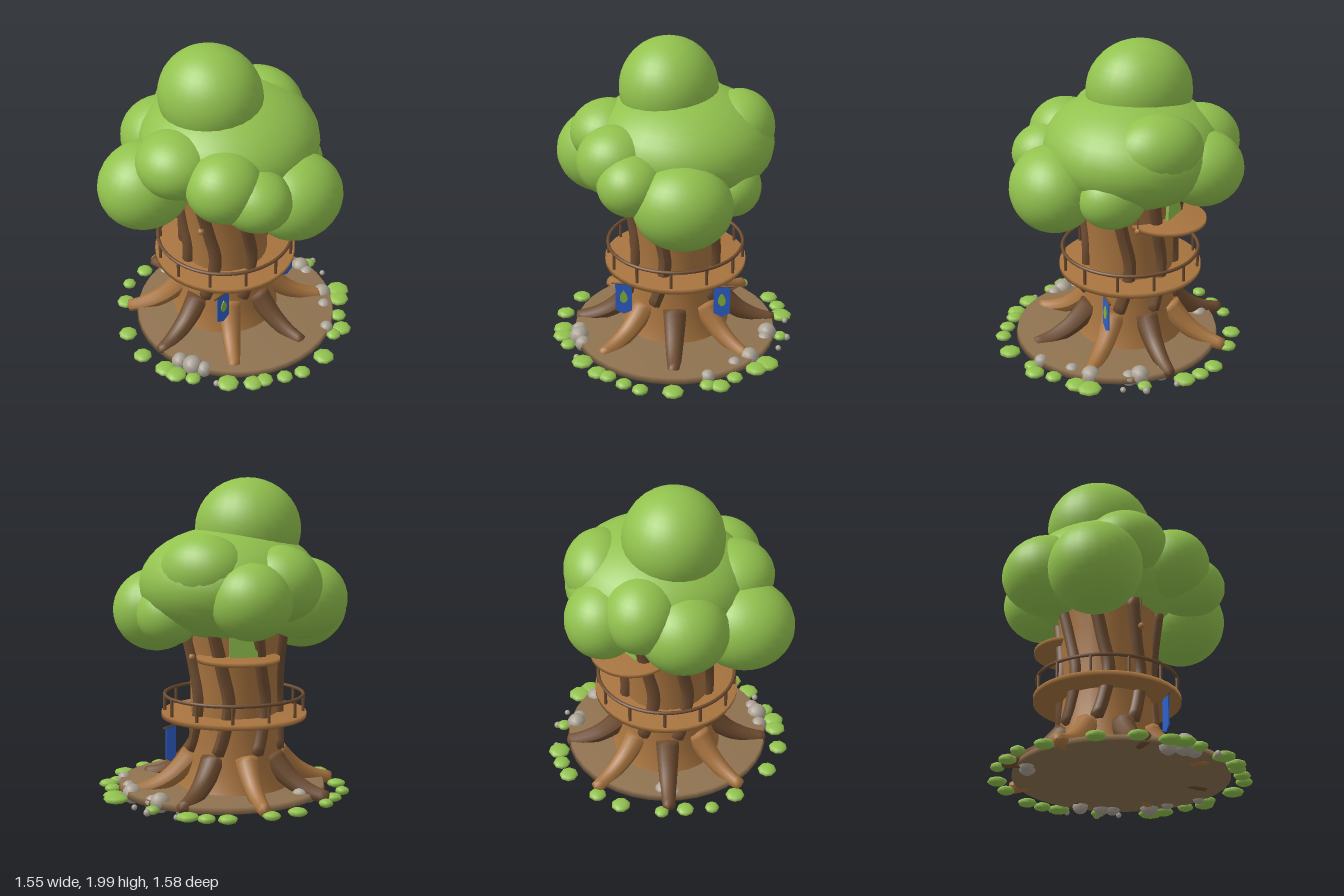
import * as THREE from 'three';
import { mergeVertices } from 'three/addons/utils/BufferGeometryUtils.js';

const mat = (name, color) => {
  const m = new THREE.MeshStandardMaterial({ color });
  m.name = name;
  return m;
};

export function createModel() {
  const leaf = mat('leaf green', 0x92c24e);
  const bark = mat('bark brown', 0xa8743f);
  const darkBark = mat('dark bark', 0x6e4c30);
  const dirt = mat('dirt', 0x8f7250);
  const stone = mat('stone grey', 0xaaa295);
  const blue = mat('banner blue', 0x2f5fc8);
  blue.side = THREE.DoubleSide;
  const emblemGreen = mat('emblem green', 0x86b43c);
  emblemGreen.side = THREE.DoubleSide;

  const model = new THREE.Group();
  model.name = 'treehouse';
  const add = (name, geo, material, x = 0, y = 0, z = 0, parent = model) => {
    const mesh = new THREE.Mesh(geo, material);
    mesh.name = name;
    mesh.position.set(x, y, z);
    parent.add(mesh);
    return mesh;
  };
  const V = (x, y, z) => new THREE.Vector3(x, y, z);

  // Disc with softly shaded rim and faces
  const softDisc = (rTop, rBottom, height, sides) => {
    const geo = new THREE.CylinderGeometry(rTop, rBottom, height, sides);
    geo.deleteAttribute('normal');
    geo.deleteAttribute('uv');
    const welded = mergeVertices(geo);
    welded.computeVertexNormals();
    return welded;
  };

  // Tube along a curve whose radius runs from r0 to r1, closed at both ends
  const taperedTube = (points, r0, r1, segs = 16, sides = 9) => {
    const curve = new THREE.CatmullRomCurve3(points);
    const geo = new THREE.TubeGeometry(curve, segs, 1, sides);
    const pos = geo.attributes.position;
    const v = V(0, 0, 0);
    for (let i = 0; i <= segs; i++) {
      const t = i / segs;
      const c = curve.getPointAt(t);
      const r = i === 0 || i === segs ? 0.001 : r0 + (r1 - r0) * t;
      // Pull the end rings inward so the tips are blunt
      const base = curve.getPointAt(i === 0 ? 0.6 / segs : i === segs ? 1 - 0.6 / segs : t);
      for (let j = 0; j <= sides; j++) {
        const k = i * (sides + 1) + j;
        v.fromBufferAttribute(pos, k).sub(c).multiplyScalar(r).add(base);
        pos.setXYZ(k, v.x, v.y, v.z);
      }
    }
    geo.computeVertexNormals();
    return geo;
  };

  // Ground disc
  add('ground', softDisc(0.64, 0.65, 0.04, 40), dirt, 0.01, 0.085, 0);

  // Tree parts share an axis set slightly back
  const tree = new THREE.Group();
  tree.name = 'tree';
  tree.position.set(0.01, 0, -0.09);
  model.add(tree);

  // Trunk
  const profile = [[0.35, 0.09], [0.325, 0.15], [0.3, 0.25], [0.28, 0.4], [0.27, 0.55],
    [0.272, 0.75], [0.285, 0.95], [0.31, 1.1], [0.33, 1.25], [0.001, 1.3]];
  add('trunk', new THREE.LatheGeometry(profile.map(p => new THREE.Vector2(...p)), 28), bark, 0, 0, 0, tree);

  // Roots, alternating light and dark
  for (let i = 0; i < 8; i++) {
    const root = add('root', taperedTube(
      [V(0, 0.325, 0.245), V(0, 0.25, 0.31), V(0, 0.165, 0.41), V(0, 0.11, 0.53), V(0, 0.085, 0.67)],
      0.08, 0.036), i % 2 ? bark : darkBark, 0, 0, 0, tree);
    root.rotation.y = i * Math.PI / 4 + 0.045;
  }

  // Twisting bark ridges
  [-20, 60, 105, 155, 200, 245, 290].forEach(deg => {
    const pts = [[0.3, -7, 0.285], [0.45, 3, 0.272], [0.65, 10, 0.268], [0.85, 2, 0.275], [1.15, -9, 0.32]]
      .map(([y, off, r]) => {
        const a = (deg + off) * Math.PI / 180;
        return V(Math.sin(a) * r, y, Math.cos(a) * r);
      });
    add('barkRidge', taperedTube(pts, 0.042, 0.042, 20, 8), darkBark, 0, 0, 0, tree);
  });

  // Balcony with railing
  add('balcony', softDisc(0.45, 0.45, 0.032, 40), bark, 0, 0.545, 0, tree);
  const rail = add('rail', new THREE.TorusGeometry(0.43, 0.011, 8, 48), darkBark, 0, 0.67, 0, tree);
  rail.rotation.x = Math.PI / 2;
  for (let i = 0; i < 12; i++) {
    const a = i * Math.PI / 6;
    add('railPost', new THREE.CylinderGeometry(0.01, 0.01, 0.115, 8), darkBark,
      Math.sin(a) * 0.43, 0.612, Math.cos(a) * 0.43, tree);
  }

  // Upper lookout ledge with a green door in the trunk
  add('lookout', softDisc(0.25, 0.25, 0.025, 32), bark, 0.22, 0.93, -0.246);
  const doorway = new THREE.Group();
  doorway.name = 'doorway';
  doorway.rotation.y = 132 * Math.PI / 180;
  tree.add(doorway);
  add('door', new THREE.BoxGeometry(0.17, 0.16, 0.02), leaf, 0, 1.02, 0.3, doorway);

  // Hanging bobs on ropes
  [[0.365, 0.94, -0.01], [-0.325, 0.92, 0.02]].forEach(([x, y, z]) => {
    add('hangingBob', new THREE.SphereGeometry(0.02, 10, 8), bark, x, y, z);
    add('bobRope', new THREE.CylinderGeometry(0.004, 0.004, 0.18, 6), darkBark, x, y + 0.09, z);
  });

  // Crown: [x, y, z, rx, ry, rz]
  [
    [-0.035, 1.69, -0.16, 0.305, 0.31, 0.33],
    [0.055, 1.365, -0.09, 0.565, 0.348, 0.55],
    [0.4, 1.455, -0.12, 0.22, 0.225, 0.28],
    [0.37, 1.3, -0.42, 0.23, 0.23, 0.25],
    [0.14, 1.385, -0.48, 0.23, 0.23, 0.26],
    [-0.1, 1.28, -0.5, 0.27, 0.25, 0.28],
    [-0.46, 1.19, -0.31, 0.3, 0.27, 0.28],
    [-0.4, 1.41, -0.1, 0.24, 0.2, 0.25],
    [-0.325, 1.36, 0.22, 0.24, 0.215, 0.23],
    [-0.22, 1.28, 0.36, 0.21, 0.19, 0.235],
    [0.085, 1.17, 0.43, 0.3, 0.262, 0.265],
    [0.37, 1.18, 0.15, 0.175, 0.18, 0.205],
  ].forEach(([x, y, z, rx, ry, rz]) => {
    add('leafClump', new THREE.SphereGeometry(1, 28, 20), leaf, x, y, z).scale.set(rx, ry, rz);
  });

  // Banners with a leaf emblem
  const cloth = new THREE.Shape([[-0.052, 0.49], [-0.052, 0.295], [0, 0.268], [0.052, 0.295], [0.052, 0.49]]
    .map(p => new THREE.Vector2(...p)));
  const emblem = new THREE.Shape();
  emblem.moveTo(0, -0.045);
  emblem.bezierCurveTo(0.035, -0.03, 0.03, 0.01, 0, 0.045);
  emblem.bezierCurveTo(-0.03, 0.01, -0.035, -0.03, 0, -0.045);
  [-0.3, 0.32].forEach(x => {
    add('banner', new THREE.ExtrudeGeometry(cloth, { depth: 0.008, bevelEnabled: false }), blue, x, 0, 0.172);
    add('bannerEmblem', new THREE.ExtrudeGeometry(emblem, { depth: 0.006, bevelEnabled: false }),
      emblemGreen, x, 0.395, 0.18);
    const rod = add('bannerRod', new THREE.CylinderGeometry(0.006, 0.006, 0.15, 8), darkBark, x, 0.488, 0.176);
    rod.rotation.z = Math.PI / 2;
  });

  // Stones: [x, z, radius, y]
  [
    [0.61, 0.06, 0.062, 0.09], [0.595, 0.125, 0.05, 0.075], [0.5, 0.34, 0.062, 0.08], [0.41, 0.43, 0.045, 0.085],
    [0.25, 0.58, 0.045, 0.085], [-0.59, 0.18, 0.065, 0.09], [-0.56, 0.25, 0.05, 0.08], [-0.6, 0.08, 0.055, 0.07],
    [0.02, -0.57, 0.055, 0.085], [-0.05, -0.59, 0.045, 0.075], [0.58, -0.09, 0.05, 0.06],
    [0.74, 0.065, 0.022, 0.06], [0.73, -0.135, 0.018, 0.06], [0.685, 0.195, 0.018, 0.06], [-0.585, 0.38, 0.02, 0.06],
  ].forEach(([x, z, r, y], i) => {
    const rock = add('stone', new THREE.SphereGeometry(r, 10, 8), stone, x, y, z);
    rock.rotation.y = i * 1.3;
  });

  // Flat grass tufts round the edge: [x, z, radius]
  [
    [0.625, -0.42, 0.06], [0.68, -0.31, 0.055], [0.705, -0.195, 0.07], [0.695, 0.06, 0.045], [0.61, 0.385, 0.078],
    [0.545, 0.445, 0.07], [0.415, 0.55, 0.052], [0.33, 0.645, 0.062], [0.25, 0.64, 0.05], [0.045, 0.725, 0.068],
    [-0.155, 0.715, 0.052], [-0.26, 0.66, 0.052], [-0.365, 0.585, 0.055], [-0.435, 0.55, 0.062], [-0.54, 0.435, 0.07],
    [-0.655, 0.245, 0.05], [-0.7, 0.14, 0.068], [-0.708, 0.055, 0.068], [-0.72, -0.135, 0.06], [-0.64, -0.35, 0.06],
    [-0.43, -0.585, 0.06], [-0.285, -0.7, 0.045], [-0.12, -0.72, 0.055], [0.025, -0.745, 0.045], [0.28, -0.69, 0.06],
    [0.43, -0.6, 0.055],
  ].forEach(([x, z, r], i) => {
    const tuft = add('grassTuft', new THREE.SphereGeometry(1, 8, 6), leaf, x, 0.065, z);
    tuft.scale.set(r, 0.026, r);
    tuft.rotation.y = i * 0.9;
  });

  return model;
}
